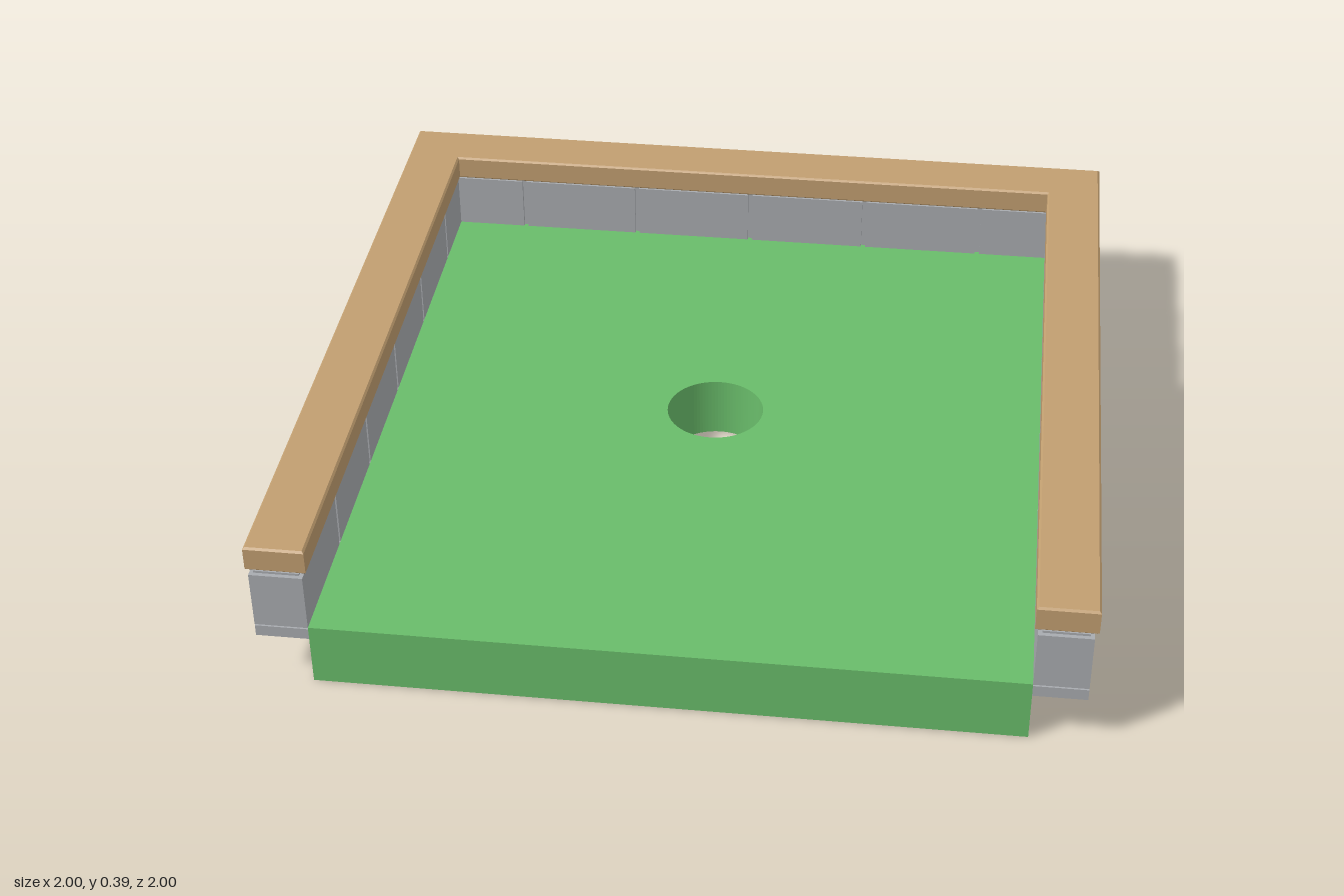
import * as THREE from 'three';

const green = new THREE.MeshStandardMaterial({ color: 0x69bc6a });
green.name = 'lawn green';
const grey = new THREE.MeshStandardMaterial({ color: 0xa8abaf });
grey.name = 'block grey';
const tan = new THREE.MeshStandardMaterial({ color: 0xc19e70 });
tan.name = 'coping tan';

function polygon(points) {
  return new THREE.Shape(points.map(([x, z]) => new THREE.Vector2(x, -z)));
}

// Extrudes a plan outline upwards from height y
function slab(name, shape, y, height, material, bevel = 0) {
  const geometry = new THREE.ExtrudeGeometry(shape, {
    depth: height - 2 * bevel, curveSegments: 48, bevelEnabled: bevel > 0,
    bevelSize: bevel, bevelThickness: bevel, bevelOffset: -bevel, bevelSegments: 1,
  });
  geometry.rotateX(-Math.PI / 2);
  const mesh = new THREE.Mesh(geometry, material);
  mesh.name = name;
  mesh.position.y = y + bevel;
  return mesh;
}

function box(name, w, h, d, x, y, z) {
  const mesh = new THREE.Mesh(new THREE.BoxGeometry(w, h, d), grey);
  mesh.name = name;
  mesh.position.set(x, y, z);
  return mesh;
}

// A straight wall along x: footing, recessed core and a row of blocks
function makeWall(name, length, thickness) {
  const wall = new THREE.Group();
  wall.name = name;
  wall.add(box('footing', length, 0.03, thickness, 0, 0.145, 0));
  wall.add(box('mortarCore', length - 0.02, 0.164, thickness - 0.02, 0, 0.239, 0));
  const count = 6, gap = 0.012, pitch = (length + gap) / count;
  for (let i = 0; i < count; i++) {
    const x = (i - (count - 1) / 2) * pitch;
    wall.add(box('block', pitch - gap, 0.151, thickness, x, 0.2395, 0));
  }
  return wall;
}

export function createModel() {
  const model = new THREE.Group();
  model.name = 'walledCourt';

  // Ground slab with a round hole through it
  const ground = polygon([[-0.86, 1], [0.86, 1], [0.86, -0.99], [-0.86, -0.99]]);
  const hole = new THREE.Path();
  hole.absarc(0, 0, 0.127, 0, Math.PI * 2, true);
  ground.holes.push(hole);
  model.add(slab('groundSlab', ground, 0, 0.165, green));

  // Block walls on three sides
  for (const side of [-1, 1]) {
    const wall = makeWall(side > 0 ? 'leftWall' : 'rightWall', 1.99, 0.13);
    wall.rotation.y = Math.PI / 2;
    wall.position.set(side * 0.925, 0, 0.005);
    model.add(wall);
  }
  const back = makeWall('backWall', 1.98, 0.132);
  back.position.z = -0.926;
  model.add(back);

  // Coping along the top of the walls, slightly overhanging
  const coping = polygon([
    [-1, 0.99], [-0.853, 0.99], [-0.853, -0.853], [0.853, -0.853],
    [0.853, 0.99], [1, 0.99], [1, -1], [-1, -1],
  ]);
  model.add(slab('coping', coping, 0.32, 0.067, tan, 0.005));

  return model;
}
